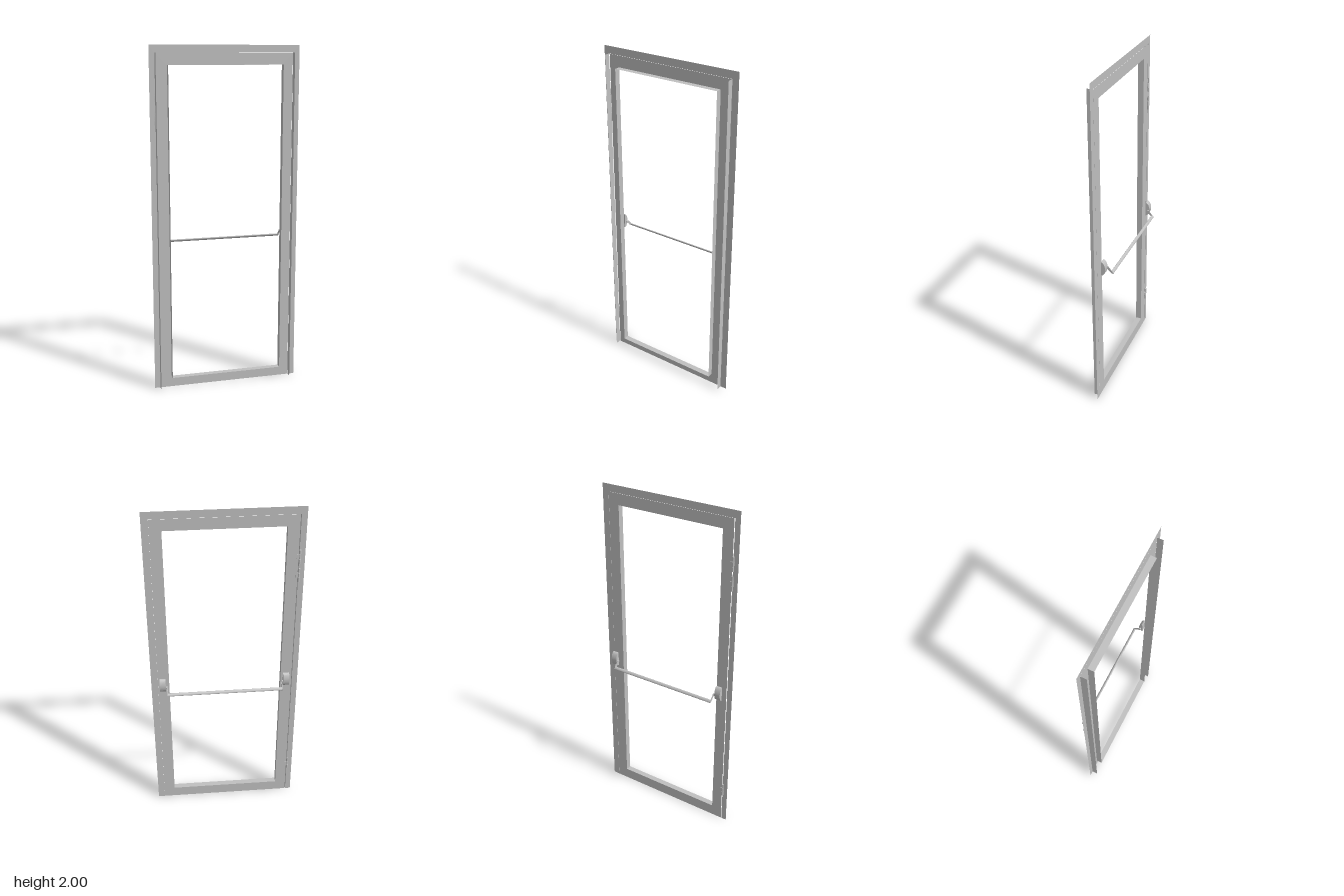
import * as THREE from 'three';

const BACK = 0.02, FRONT = 0.055;

export function createModel() {
  const model = new THREE.Group();
  model.name = 'door';
  const metal = new THREE.MeshStandardMaterial({ color: 0xc0c0c0, side: THREE.DoubleSide });
  metal.name = 'greyMetal';

  const add = (parent, name, geometry, x = 0, y = 0, z = 0) => {
    const mesh = new THREE.Mesh(geometry, metal);
    mesh.name = name;
    mesh.position.set(x, y, z);
    parent.add(mesh);
    return mesh;
  };
  const polygon = (pts) => new THREE.Shape(pts.map(([x, y]) => new THREE.Vector2(x, y)));
  const rect = (x0, x1, y0, y1) => polygon([[x0, y0], [x1, y0], [x1, y1], [x0, y1]]);

  // Thin surround: two jambs and a head
  const jambL = -0.404, jambR = 0.397, head = 1.957;
  const surround = polygon([[-0.436, 0], [jambL, 0], [jambL, head], [jambR, head],
    [jambR, 0], [0.436, 0], [0.436, 2], [-0.436, 2]]);
  add(model, 'surround', new THREE.ShapeGeometry(surround), 0, 0, BACK);

  // Leaf sheet with one large opening
  const [x0, x1, y0, y1] = [-0.335, 0.33, 0.067, 1.89];
  const leaf = rect(-0.4, 0.396, 0, 1.956);
  leaf.holes.push(rect(x0, x1, y0, y1));
  add(model, 'leaf', new THREE.ShapeGeometry(leaf), 0, 0, BACK);

  // Sheets running forward along the jambs and around the opening
  const depth = FRONT - BACK, mid = (FRONT + BACK) / 2;
  const upright = (name, x, a, b) =>
    add(model, name, new THREE.PlaneGeometry(depth, b - a), x, (a + b) / 2, mid).rotateY(Math.PI / 2);
  const level = (name, y) =>
    add(model, name, new THREE.PlaneGeometry(x1 - x0, depth), (x0 + x1) / 2, y, mid).rotateX(-Math.PI / 2);
  upright('jambReturnRight', jambL, 0, head);
  upright('jambReturnLeft', jambR, 0, head);
  upright('openingSideRight', x0, y0, y1);
  upright('openingSideLeft', x1, y0, y1);
  level('openingSill', y0);
  level('openingHead', y1);

  // Hinges: barrel in three knuckles with a short side plate
  for (const y of [1.712, 1.602, 0.23]) {
    const hinge = new THREE.Group();
    hinge.name = 'hinge';
    hinge.position.set(-0.407, y, 0.015);
    for (const dy of [-0.028, 0, 0.028]) {
      add(hinge, 'knuckle', new THREE.CylinderGeometry(0.0055, 0.0055, 0.025, 14), 0, dy, 0);
    }
    add(hinge, 'pin', new THREE.CylinderGeometry(0.003, 0.003, 0.084, 10));
    add(hinge, 'hingePlate', new THREE.BoxGeometry(0.016, 0.026, 0.005), 0.009, 0, 0);
    model.add(hinge);
  }

  // Push bar housings with a rounded back, each with a sloping arm
  const housing = polygon([[0, 0.876], [0, 0.963]]);
  housing.bezierCurveTo(-0.014, 0.963, -0.024, 0.938, -0.024, 0.92);
  housing.bezierCurveTo(-0.024, 0.9, -0.016, 0.876, 0, 0.876);
  const arm = polygon([[-0.012, 0.918], [-0.023, 0.916], [-0.056, 0.878], [-0.052, 0.871], [-0.044, 0.875], [-0.014, 0.904]]);
  // Extrudes a (z, y) side profile along x, starting at x
  const along = (name, shape, x, width) => {
    const g = new THREE.ExtrudeGeometry(shape, { depth: width, bevelEnabled: false, curveSegments: 10 });
    g.rotateY(-Math.PI / 2);
    g.translate(x + width, 0, 0);
    add(model, name, g);
  };
  const centre = 0.003;
  for (const side of [-1, 1]) {
    const span = (name, shape, a, b) =>
      along(name, shape, centre + (side > 0 ? a : -b), b - a);
    span('pushBarHousing', housing, 0.348, 0.384);
    span('pushBarArm', arm, 0.338, 0.341);
    const pivot = add(model, 'armPivot', new THREE.CylinderGeometry(0.006, 0.006, 0.012, 16),
      centre + side * 0.344, 0.911, -0.014);
    pivot.rotation.z = Math.PI / 2;
  }

  // Oval push bar, tilted in line with the arms
  const bar = new THREE.CylinderGeometry(1, 1, 0.68, 20);
  bar.rotateZ(Math.PI / 2);
  bar.scale(1, 0.0095, 0.005);
  bar.rotateX(0.72);
  add(model, 'pushBar', bar, centre, 0.88, -0.048);

  return model;
}
